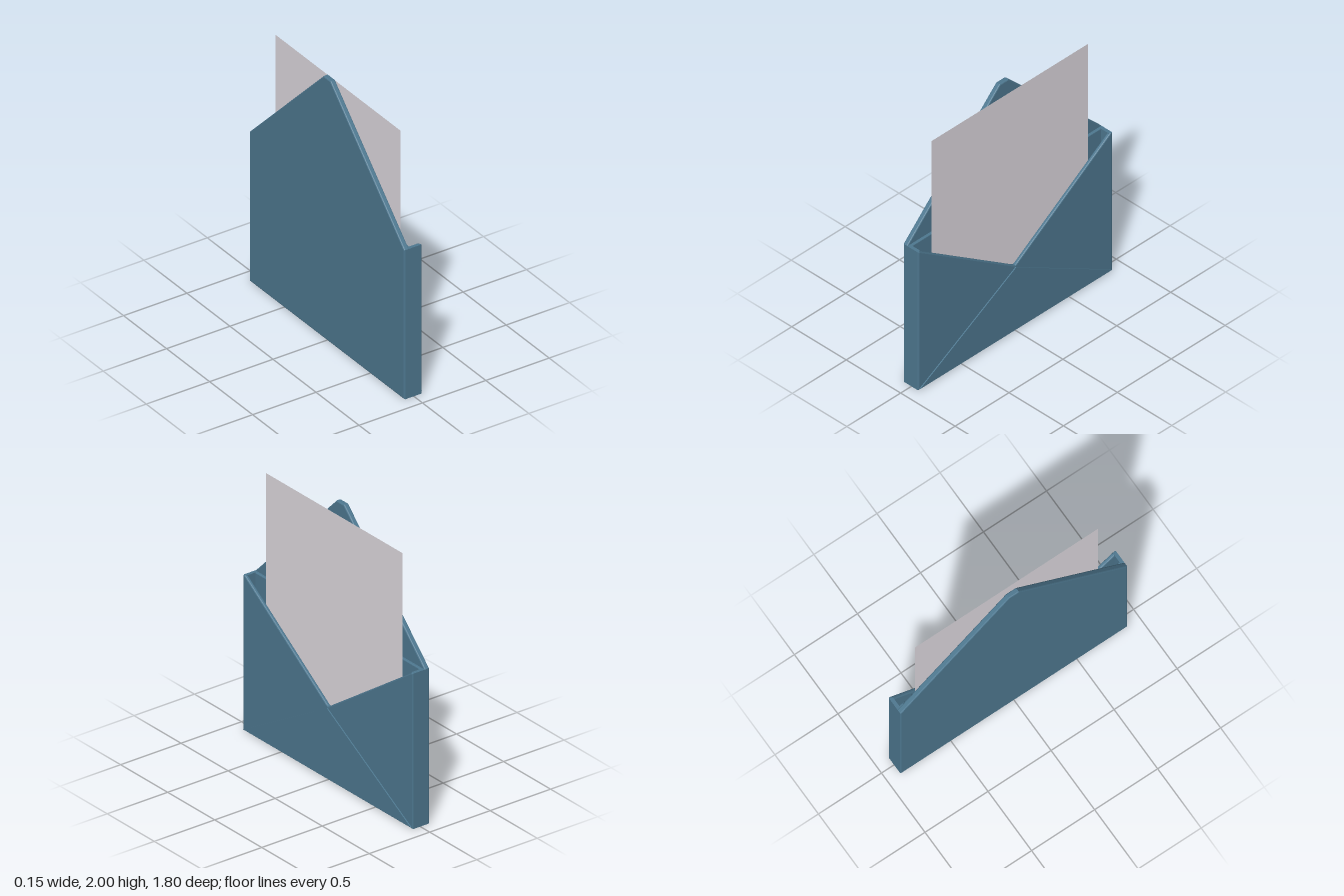
import * as THREE from 'three';

const blue = new THREE.MeshStandardMaterial({ color: 0x4e7890 });
const paper = new THREE.MeshStandardMaterial({ color: 0xded9df, side: THREE.DoubleSide });

// Extrudes a (z, y) outline along x from x0 to x1, with bevels kept inside the outline
function panel(name, points, x0, x1, bevel) {
  const shape = new THREE.Shape(points.map(([z, y]) => new THREE.Vector2(z, y)));
  const geometry = new THREE.ExtrudeGeometry(shape, {
    depth: x1 - x0 - 2 * bevel,
    bevelEnabled: bevel > 0,
    bevelThickness: bevel,
    bevelSize: bevel,
    bevelOffset: -bevel,
    bevelSegments: 2,
  });
  geometry.translate(0, 0, x0 + bevel);
  geometry.rotateY(Math.PI / 2);
  const mesh = new THREE.Mesh(geometry, blue);
  mesh.name = name;
  return mesh;
}

// Completes a symmetric outline from its right half, listed bottom to top
function mirrored(half) {
  return [...half, ...half.filter(([z]) => z !== 0).reverse().map(([z, y]) => [-z, y])];
}

export function createModel() {
  const envelope = new THREE.Group();
  envelope.name = 'envelope';
  const w = 0.9, h = 1.14, wall = 0.025;

  // Back panel continuing up into the open pointed flap
  envelope.add(panel('backPanelAndFlap',
    mirrored([[w, 0], [w, h], [0.065, 1.975], [0.04, 2]]), -0.075, -0.037, 0.008));

  // Inner lining that ends in a ledge at the fold
  envelope.add(panel('innerLining',
    mirrored([[w - 0.01, 0.01], [w - 0.01, h]]), -0.05, -0.018, 0.006));

  // Sides and floor as one U-shaped band
  envelope.add(panel('sidesAndFloor',
    mirrored([[w, 0], [w, h], [w - wall, h], [w - wall, wall]]), -0.06, 0.056, 0.008));

  // Front panel with its V-shaped opening
  envelope.add(panel('frontPanel',
    mirrored([[w, 0], [w, h], [w - 0.015, h], [0.012, 0.543], [0, 0.538]]), 0.038, 0.064, 0.008));

  // Thin triangular bottom flap folded over the front
  envelope.add(panel('bottomFlap',
    mirrored([[w - 0.01, 0.012], [0, 0.525]]), 0.056, 0.072, 0));

  // Flat sheet standing in the pocket
  const sheet = new THREE.Mesh(new THREE.PlaneGeometry(1.45, 1.84), paper);
  sheet.name = 'letterSheet';
  sheet.rotation.y = Math.PI / 2;
  sheet.position.set(0.012, 1.02, 0);
  envelope.add(sheet);

  return envelope;
}
